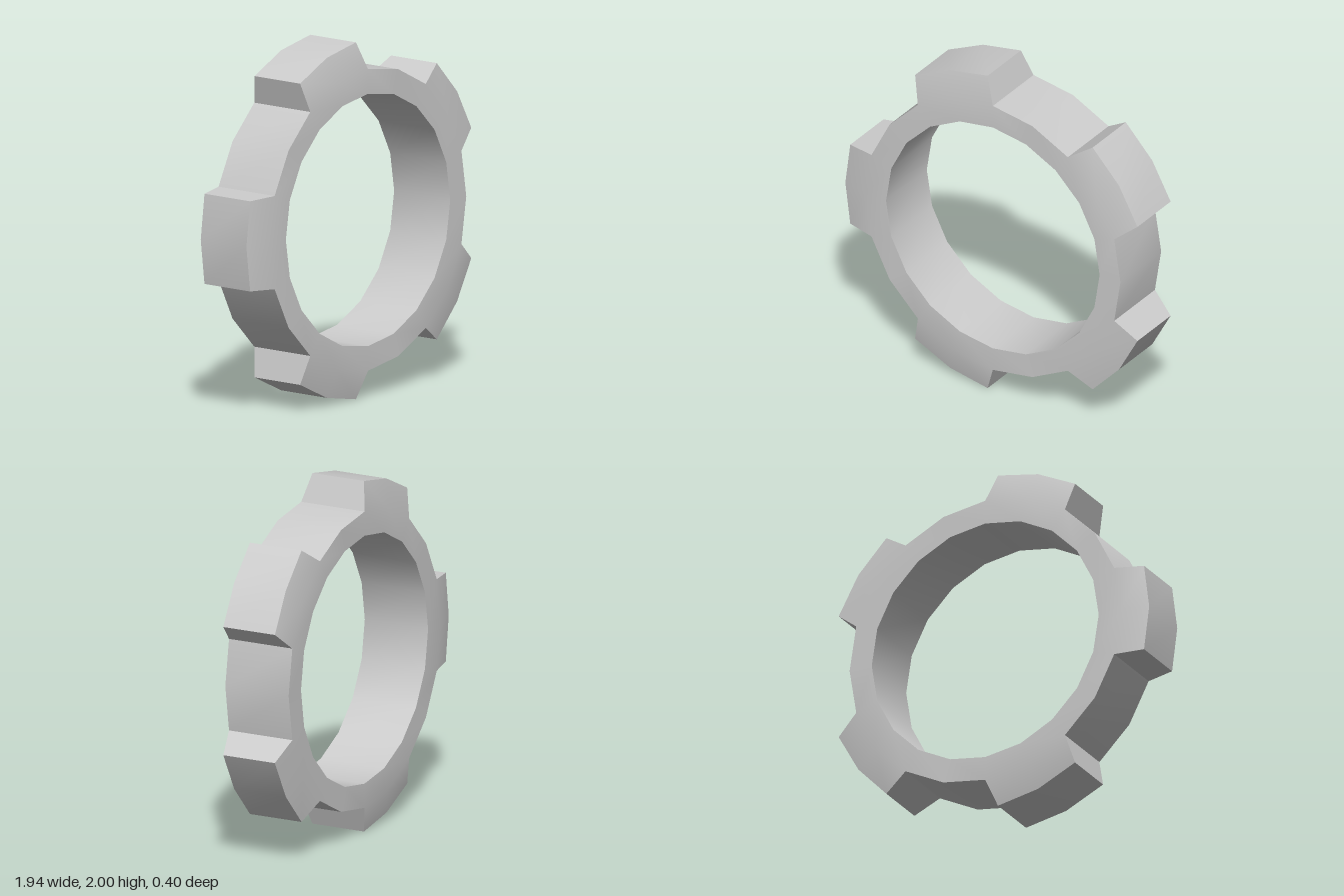
import * as THREE from 'three';
import { toCreasedNormals } from 'three/addons/utils/BufferGeometryUtils.js';

const SEGMENTS = 20, INNER = 0.708, OUTER = 0.846, TIP = 1.003;
const HALF = 0.2, TIP_HALF = 0.163; // half widths at the ring and at the tooth tips
const rad = THREE.MathUtils.degToRad;

function point(degrees, radius, z) {
  return [radius * Math.cos(rad(degrees)), radius * Math.sin(rad(degrees)), z];
}

export function createModel() {
  const positions = [];
  const quad = (a, b, c, d) => positions.push(...a, ...b, ...c, ...a, ...c, ...d);

  // Outward-facing strip between two radial sections [front, back]
  const outerFace = (a, b) => quad(a[0], a[1], b[1], b[0]);

  // Each segment spans two sections: flat front and back, inner bore, outer rim or tooth
  const step = 360 / SEGMENTS;
  for (let i = 0; i < SEGMENTS; i++) {
    const a = i * step, b = a + step;
    const section = (angle, radius, half) => [point(angle, radius, half), point(angle, radius, -half)];
    const innerA = section(a, INNER, HALF), innerB = section(b, INNER, HALF);
    const outerA = section(a, OUTER, HALF), outerB = section(b, OUTER, HALF);

    quad(innerA[0], outerA[0], outerB[0], innerB[0]);
    quad(innerB[1], outerB[1], outerA[1], innerA[1]);
    outerFace(innerB, innerA);

    // Teeth cover segments 1-2 of every four, tapering towards the tip
    const phase = i % 4;
    if (phase !== 1 && phase !== 2) {
      outerFace(outerA, outerB);
      continue;
    }
    const taper = 3.4;
    const tipA = section(phase === 1 ? a + taper : a, TIP, TIP_HALF);
    const tipB = section(phase === 2 ? b - taper : b, TIP, TIP_HALF);
    quad(outerA[0], tipA[0], tipB[0], outerB[0]);
    quad(outerB[1], tipB[1], tipA[1], outerA[1]);
    outerFace(tipA, tipB);
    if (phase === 1) outerFace(outerA, tipA);
    else outerFace(tipB, outerB);
  }

  const geometry = new THREE.BufferGeometry();
  geometry.setAttribute('position', new THREE.Float32BufferAttribute(positions, 3));
  const ring = new THREE.Mesh(
    toCreasedNormals(geometry, rad(30)),
    new THREE.MeshStandardMaterial({ color: 0xcccccc })
  );
  ring.name = 'toothedRing';
  ring.position.set(0.035, 1, 0);

  const group = new THREE.Group();
  group.name = 'gearRing';
  group.add(ring);
  return group;
}
